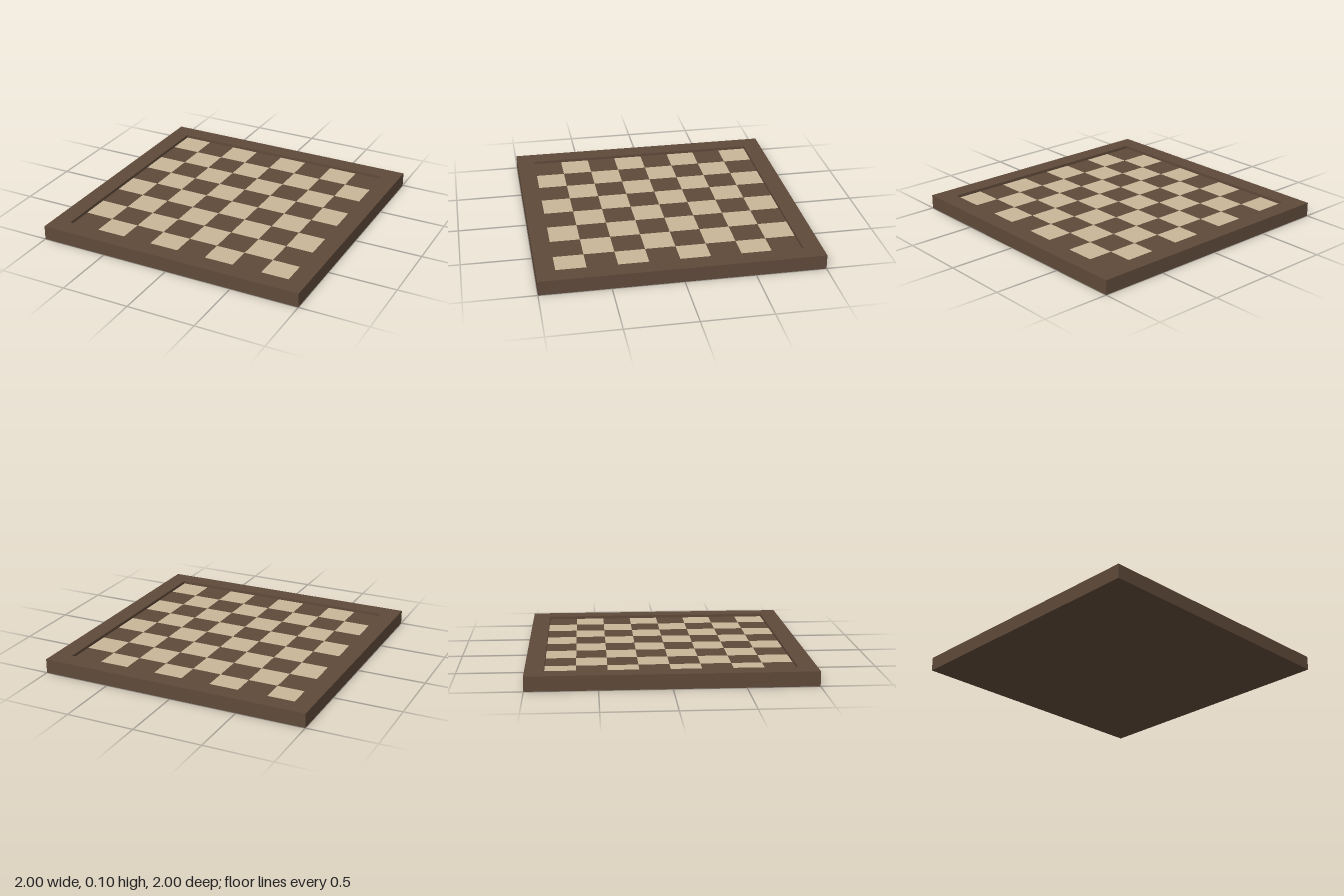
import * as THREE from 'three';
import { mergeGeometries } from 'three/addons/utils/BufferGeometryUtils.js';

const HALF = 1, INNER = 0.867, HEIGHT = 0.105, FIELD_Y = 0.083, COUNT = 8;

// Square outline centred on the origin
function trace(path, h) {
  path.moveTo(-h, -h);
  path.lineTo(h, -h);
  path.lineTo(h, h);
  path.lineTo(-h, h);
  path.closePath();
  return path;
}

export function createModel() {
  const board = new THREE.Group();
  board.name = 'checkeredBoard';

  const darkWood = new THREE.MeshStandardMaterial({ color: 0x5f4a3a });
  darkWood.name = 'darkWood';
  const lightWood = new THREE.MeshStandardMaterial({ color: 0xc8b698 });
  lightWood.name = 'lightWood';

  const add = (name, geometry, material) => {
    const mesh = new THREE.Mesh(geometry, material);
    mesh.name = name;
    board.add(mesh);
  };

  // Raised rim around the playing field
  const outline = trace(new THREE.Shape(), HALF);
  outline.holes.push(trace(new THREE.Path(), INNER));
  const rim = new THREE.ExtrudeGeometry(outline, { depth: HEIGHT, bevelEnabled: false });
  rim.rotateX(-Math.PI / 2);
  add('rim', rim, darkWood);

  // Solid bed filling the rim, flush with the underside
  const bedHeight = FIELD_Y - 0.005;
  const bed = new THREE.BoxGeometry(INNER * 2, bedHeight, INNER * 2);
  bed.translate(0, bedHeight / 2, 0);
  add('bed', bed, darkWood);

  // Alternating inlaid squares, light in the back right corner
  const size = (INNER * 2) / COUNT;
  const light = [], dark = [];
  for (let row = 0; row < COUNT; row++) {
    for (let col = 0; col < COUNT; col++) {
      const square = new THREE.PlaneGeometry(size, size);
      square.rotateX(-Math.PI / 2);
      square.translate(-INNER + (col + 0.5) * size, FIELD_Y, -INNER + (row + 0.5) * size);
      ((row + col) % 2 === 0 ? light : dark).push(square);
    }
  }
  add('lightSquares', mergeGeometries(light), lightWood);
  add('darkSquares', mergeGeometries(dark), darkWood);

  return board;
}
